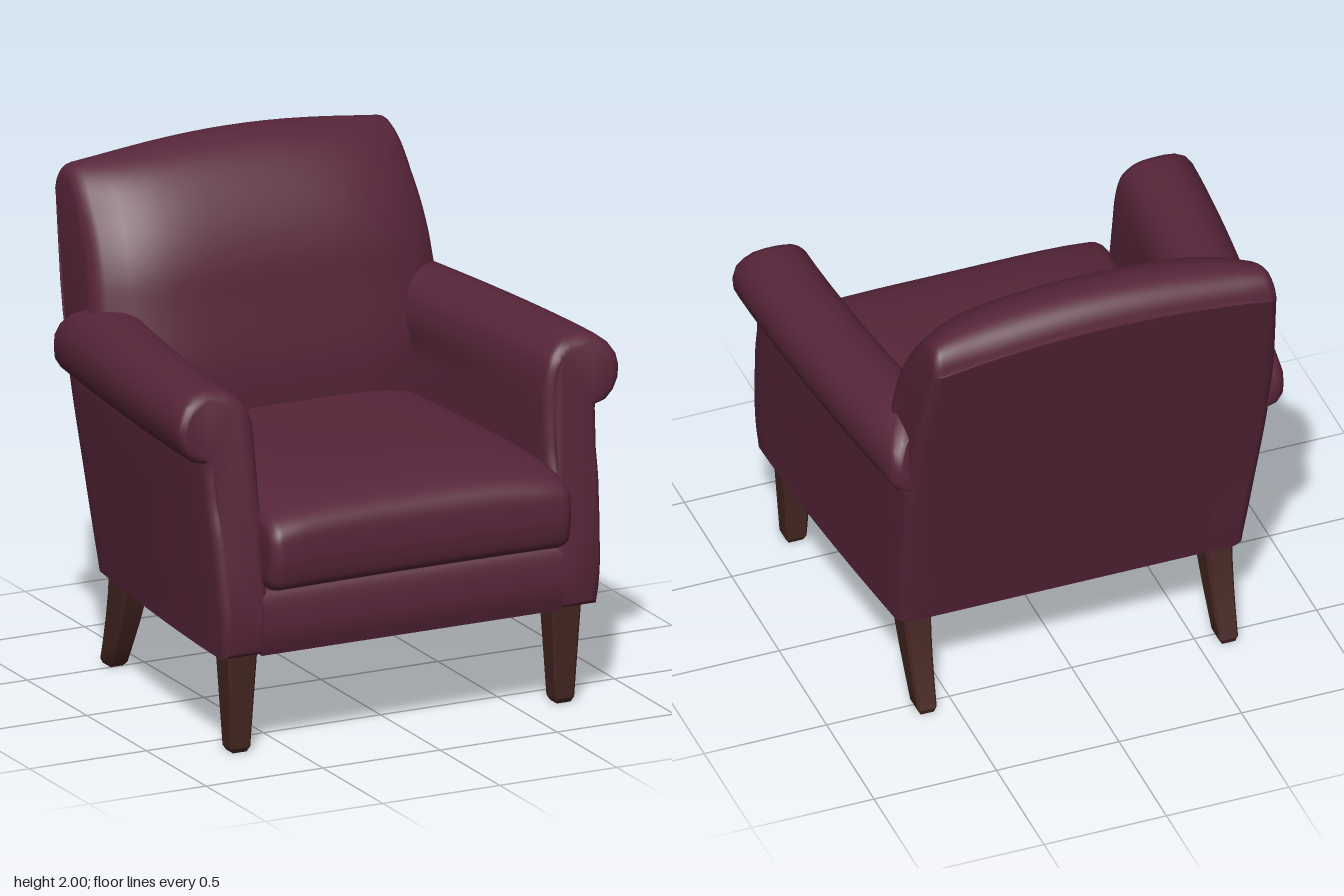
import * as THREE from 'three';
import { toCreasedNormals } from 'three/addons/utils/BufferGeometryUtils.js';

const V2 = (p) => new THREE.Vector2(p[0], p[1]);
const V3 = (x, y, z) => new THREE.Vector3(x, y, z);

// Piecewise linear lookup in a short table of [key, value]
function lookup(table, k) {
  if (k <= table[0][0]) return table[0][1];
  for (let i = 1; i < table.length; i++) {
    const [k0, v0] = table[i - 1], [k1, v1] = table[i];
    if (k <= k1) return v0 + (v1 - v0) * (k - k0) / (k1 - k0);
  }
  return table[table.length - 1][1];
}

// Closed outline: a smooth curve through points, closed by straight corners
function outlineOf(curve, corners, div = 4) {
  const shape = new THREE.Shape();
  shape.moveTo(...curve[0]);
  shape.splineThru(curve.slice(1).map(V2));
  corners.forEach((c) => shape.lineTo(...c));
  return shape.getPoints(div);
}

// Stations from -1 to 1 as [t, inset], with ends rounded by radius r
function stations(r, half, n = 12) {
  const end = [];
  for (let i = 0; i <= 4; i++) {
    const a = i / 4 * Math.PI / 2;
    end.push([1 - r / half * (1 - Math.sin(a)), r * (1 - Math.cos(a))]);
  }
  const out = end.map(([t, d]) => [-t, d]).reverse();
  const edge = 1 - r / half;
  for (let i = 1; i < n; i++) out.push([edge * (2 * i / n - 1), 0]);
  return out.concat(end);
}

// Sweep an outline through stations; map(a, b, t) places each point
function loft(outline, stops, map, crease = 0.7) {
  if (THREE.ShapeUtils.isClockWise(outline)) outline = outline.slice().reverse();
  const n = outline.length;
  const normals = outline.map((p, i) => {
    const e0 = p.clone().sub(outline[(i + n - 1) % n]).normalize();
    const e1 = outline[(i + 1) % n].clone().sub(p).normalize();
    const e = e0.add(e1).normalize();
    return new THREE.Vector2(e.y, -e.x);
  });
  const pos = [], idx = [];
  for (const [t, d] of stops) {
    outline.forEach((p, i) => {
      const v = map(p.x - normals[i].x * d, p.y - normals[i].y * d, t);
      pos.push(v.x, v.y, v.z);
    });
  }
  for (let s = 0; s < stops.length - 1; s++) {
    for (let i = 0; i < n; i++) {
      const j = (i + 1) % n, a = s * n, b = a + n;
      idx.push(a + i, a + j, b + j, a + i, b + j, b + i);
    }
  }
  const last = (stops.length - 1) * n;
  for (const [a, b, c] of THREE.ShapeUtils.triangulateShape(outline, [])) {
    idx.push(a, c, b, last + a, last + b, last + c);
  }
  // Turn the surface outward if its signed volume is negative
  const at = (i) => V3(pos[3 * i], pos[3 * i + 1], pos[3 * i + 2]);
  let volume = 0;
  for (let i = 0; i < idx.length; i += 3) {
    volume += at(idx[i]).dot(at(idx[i + 1]).cross(at(idx[i + 2])));
  }
  if (volume < 0) idx.reverse();
  const g = new THREE.BufferGeometry();
  g.setAttribute('position', new THREE.Float32BufferAttribute(pos, 3));
  g.setIndex(idx);
  return toCreasedNormals(g, crease);
}

export function createModel() {
  const chair = new THREE.Group();
  chair.name = 'armchair';
  const fabric = new THREE.MeshStandardMaterial({ color: 0x572539 });
  fabric.name = 'plum fabric';
  const wood = new THREE.MeshStandardMaterial({ color: 0x452622 });
  wood.name = 'dark wood';
  const add = (name, geometry, material) => {
    const mesh = new THREE.Mesh(geometry, material);
    mesh.name = name;
    chair.add(mesh);
  };

  // Seat base with a softly bulging front rail, profile in (z, y)
  const basePts = outlineOf(
    [[0.76, 0.4], [0.782, 0.48], [0.782, 0.57], [0.765, 0.64], [0.73, 0.67]],
    [[-0.4, 0.67], [-0.46, 0.4]]);
  add('seatBase', loft(basePts, [[-1, 0], [1, 0]],
    (z, y, t) => V3(t * (0.64 - 0.06 * (0.76 - z)), y, z)), fabric);

  // Seat cushion: crowned on top, wider towards the front
  const cushionPts = outlineOf(
    [[0.78, 0.66], [0.845, 0.685], [0.868, 0.75], [0.872, 0.83], [0.858, 0.92],
      [0.8, 0.975], [0.7, 1.005], [0.5, 1.028], [0.1, 1.03], [-0.4, 1.02]],
    [[-0.4, 0.66]]);
  add('seatCushion', loft(cushionPts, stations(0.05, 0.62), (z, y, t) => {
    const high = Math.max(0, (y - 0.8) / 0.23);
    const front = Math.max(0, (z - 0.6) / 0.27);
    return V3(t * (0.645 - 0.055 * (0.86 - z)), y - 0.05 * high * t ** 4,
      z - 0.015 * front * (1 - t * t));
  }), fabric);

  // Backrest: raked, arched along the top, rounded at the front corners
  const backPts = outlineOf(
    [[-0.29, 1.0], [-0.29, 1.2], [-0.335, 1.44], [-0.37, 1.6], [-0.43, 1.74],
      [-0.52, 1.87], [-0.62, 1.96], [-0.73, 2.0], [-0.82, 1.975], [-0.867, 1.9],
      [-0.85, 1.8], [-0.69, 1.17], [-0.5, 0.4]],
    [[-0.3, 0.4]], 5);
  const backWidth = [[0.4, 0.7], [1.16, 0.735], [1.44, 0.735], [1.92, 0.7], [2, 0.69]];
  add('backrest', loft(backPts, stations(0.04, 0.72, 16), (z, y, t) => {
    const rear = -0.4 - 0.246 * y;
    const forward = THREE.MathUtils.clamp((z - rear) / 0.35, 0, 1);
    return V3(t * lookup(backWidth, y), y - 0.07 * t * t * Math.max(0, (y - 1.2) / 0.8),
      z - 0.13 * forward * Math.abs(t) ** 5);
  }), fabric);

  // Rolled arms with side panels, section in (x, y), narrowing to the back
  const armShape = new THREE.Shape();
  armShape.moveTo(0.8, 0.4);
  armShape.splineThru([[0.812, 0.6], [0.822, 0.8], [0.832, 1.0], [0.838, 1.165]].map(V2));
  armShape.absarc(0.795, 1.297, 0.148, -0.95, 1.75, false);
  armShape.splineThru([[0.7, 1.42], [0.645, 1.36], [0.62, 1.26], [0.612, 1.1],
    [0.61, 0.9], [0.61, 0.65], [0.61, 0.4]].map(V2));
  const armPts = armShape.getPoints(4);
  const armFront = [[0.4, 0.76], [0.48, 0.778], [0.57, 0.778], [0.75, 0.755], [0.9, 0.73],
    [1.0, 0.7], [1.16, 0.68], [1.35, 0.67], [1.41, 0.65], [1.445, 0.62]];
  const armRear = [[0.4, -0.5], [1.16, -0.687], [1.3, -0.69], [1.38, -0.65], [1.445, -0.53]];
  for (const side of [1, -1]) {
    add(side > 0 ? 'leftArm' : 'rightArm', loft(armPts, stations(0.035, 0.66), (x, y, t) => {
      const s = (t + 1) / 2;
      const taper = 0.1 + 0.045 * THREE.MathUtils.smoothstep(y, 1.14, 1.3);
      return V3(side * (x - taper * (1 - s) ** 1.5), y,
        THREE.MathUtils.lerp(lookup(armRear, y), lookup(armFront, y), s));
    }), fabric);
  }

  // Legs: chamfered square section, straight in front and splayed behind
  const c = 0.8;
  const legPts = [[1, -c], [1, c], [c, 1], [-c, 1], [-1, c], [-1, -c], [-c, -1], [c, -1]].map(V2);
  const legStops = [[0, 0.3], [0.02, 0], [0.1, 0], [0.2, 0], [0.3, 0], [0.42, 0]];
  const rearFront = [[0, -0.488], [0.1, -0.437], [0.2, -0.387], [0.3, -0.345], [0.42, -0.305]];
  const rearBack = [[0, -0.582], [0.1, -0.548], [0.2, -0.517], [0.3, -0.493], [0.42, -0.472]];
  for (const side of [1, -1]) {
    const label = side > 0 ? 'Left' : 'Right';
    add('front' + label + 'Leg', loft(legPts, legStops, (a, b, y) => {
      const half = 0.041 + 0.055 * y;
      return V3(side * (0.692 + a * half), y, 0.65 + b * half);
    }, 0.5), wood);
    add('rear' + label + 'Leg', loft(legPts, legStops, (a, b, y) => {
      const f = lookup(rearFront, y), r = lookup(rearBack, y);
      return V3(side * (0.615 + a * (0.038 + 0.045 * y)), y, (f + r) / 2 + b * (f - r) / 2);
    }, 0.5), wood);
  }
  return chair;
}
